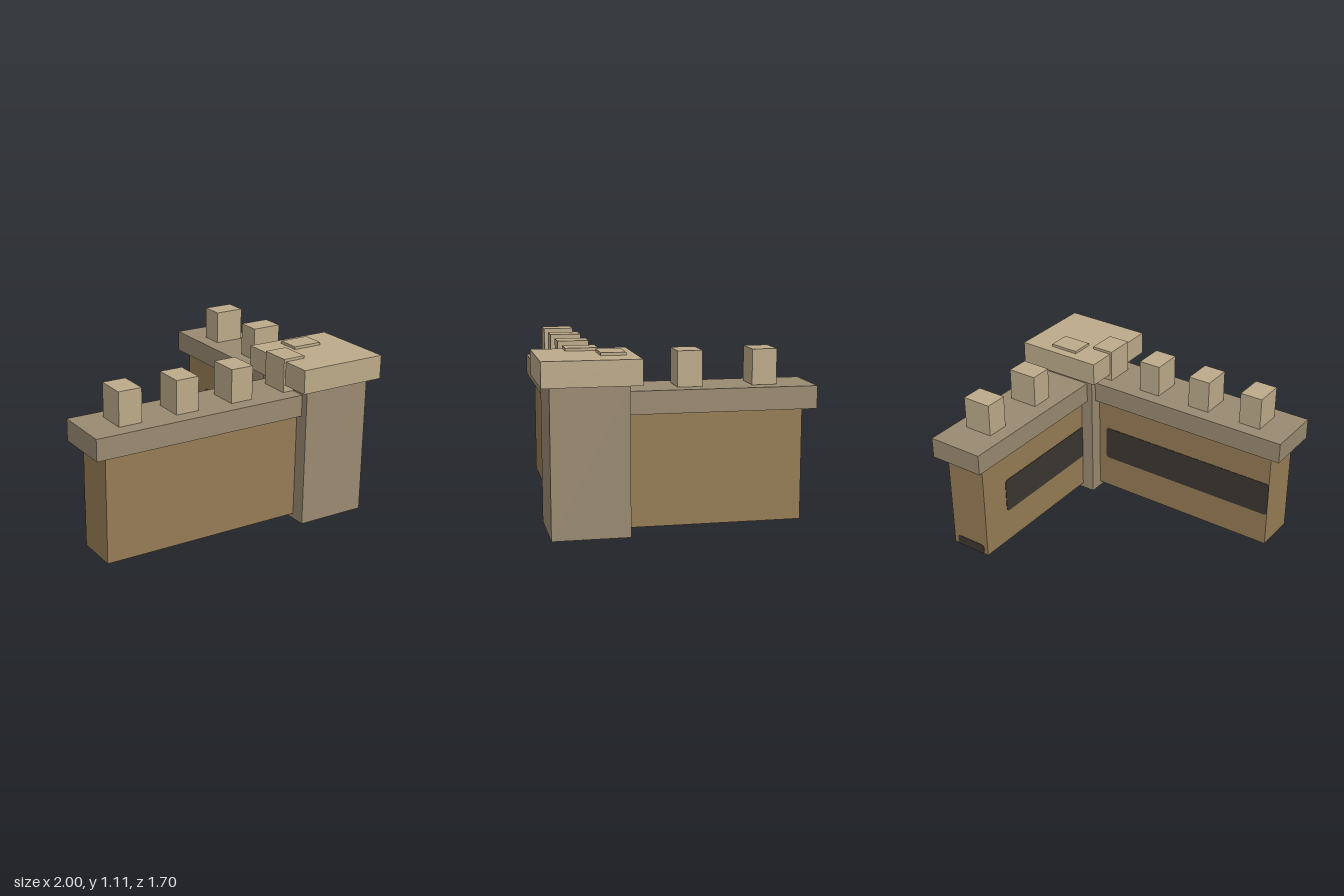
import * as THREE from 'three';

const material = (name, color) => {
  const m = new THREE.MeshStandardMaterial({ color });
  m.name = name;
  return m;
};

export function createModel() {
  const model = new THREE.Group();
  model.name = 'cornerRampart';

  const paleStone = material('paleStone', 0xbcaa8a);
  const greyStone = material('greyStone', 0x9a8a71);
  const brownStone = material('brownStone', 0x957c55);
  const darkStain = material('darkStain', 0x3b3731);

  // Box given by its minimum and maximum on each axis
  function box(parent, name, mat, [x0, x1], [y0, y1], [z0, z1]) {
    const mesh = new THREE.Mesh(new THREE.BoxGeometry(x1 - x0, y1 - y0, z1 - z0), mat);
    mesh.position.set((x0 + x1) / 2, (y0 + y1) / 2, (z0 + z1) / 2);
    mesh.name = name;
    parent.add(mesh);
    return mesh;
  }

  // Thin dark plate with rounded corners, lying in XY and centred on its thickness
  function plate(parent, name, w, h, r = 0.025) {
    const x = w / 2, y = h / 2;
    const shape = new THREE.Shape();
    shape.moveTo(-x + r, -y);
    shape.lineTo(x - r, -y);
    shape.quadraticCurveTo(x, -y, x, -y + r);
    shape.lineTo(x, y - r);
    shape.quadraticCurveTo(x, y, x - r, y);
    shape.lineTo(-x + r, y);
    shape.quadraticCurveTo(-x, y, -x, y - r);
    shape.lineTo(-x, -y + r);
    shape.quadraticCurveTo(-x, -y, -x + r, -y);
    const geo = new THREE.ExtrudeGeometry(shape, { depth: 0.006, bevelEnabled: false, curveSegments: 4 });
    geo.translate(0, 0, -0.003);
    const mesh = new THREE.Mesh(geo, darkStain);
    mesh.name = name;
    parent.add(mesh);
    return mesh;
  }

  // Wall running along local -x from its end at x = 0, with its inner face towards -z
  const bottom = 0.035, top = 0.74, half = 0.145;
  function wall(name, length) {
    const g = new THREE.Group();
    g.name = name;
    box(g, 'wallBody', brownStone, [-length, 0], [bottom, top], [-half, half]);
    box(g, 'wallWalk', greyStone, [-length - 0.08, 0.08], [top, 0.882], [-0.195, 0.195]);

    // Stains: inner band, foot and head of the end face, underside
    const bandLength = length - 0.22;
    plate(g, 'innerBand', bandLength, 0.245)
      .position.set(-0.22 - bandLength / 2, 0.393, -half);
    for (const y of [bottom + 0.034, top - 0.034]) {
      const end = plate(g, 'endStain', 0.23, 0.068);
      end.rotation.y = Math.PI / 2;
      end.position.set(0, y, 0);
    }
    const under = plate(g, 'undersideStain', 0.3, 0.23);
    under.rotation.x = Math.PI / 2;
    under.position.set(-0.15, bottom, 0);
    model.add(g);
    return g;
  }

  wall('frontWall', 1.54).position.set(0.62, 0, 0.555);
  const side = wall('sideWall', 1.4);
  side.rotation.y = Math.PI / 2;
  side.position.set(0.695, 0, -0.77);

  // Corner tower and its overhanging cap
  box(model, 'towerShaft', greyStone, [0.46, 0.935], [0, 0.93], [0.318, 0.8]);
  box(model, 'towerCap', paleStone, [0.395, 1], [0.93, 1.087], [0.255, 0.855]);

  // Evenly spaced merlons along both walls
  const rise = [0.884, 1.105];
  for (let i = 0; i < 4; i++) {
    const x = -0.8 + i * 0.394;
    box(model, 'frontMerlon', paleStone, [x, x + 0.155], rise, [0.45, 0.653]);
  }
  for (let i = 0; i < 3; i++) {
    const z = 0.32 - i * 0.468;
    box(model, 'sideMerlon', paleStone, [0.595, 0.798], rise, [z, z + 0.155]);
  }

  return model;
}
